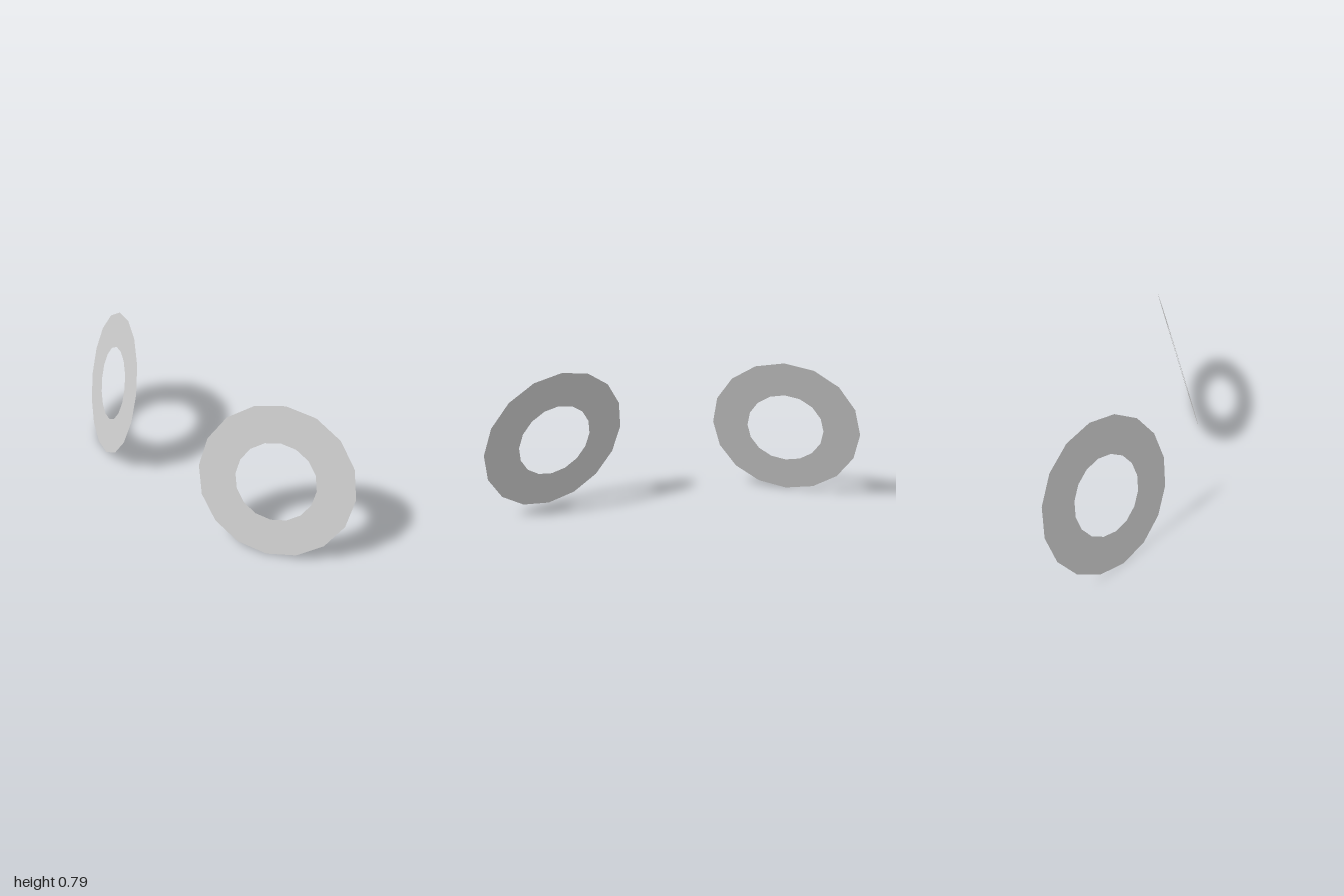
import * as THREE from 'three';

const OUTER = 0.41, INNER = 0.212, SIDES = 16;
const TILT = THREE.MathUtils.degToRad(15); // leaning back
const TURN = THREE.MathUtils.degToRad(26.1); // turned outwards

export function createModel() {
  const group = new THREE.Group();
  group.name = 'ringPair';
  const material = new THREE.MeshStandardMaterial({
    color: 0xcccccc, side: THREE.DoubleSide, flatShading: true,
  });

  // Two flat rings, mirrored across x = 0
  const geometry = new THREE.RingGeometry(INNER, OUTER, SIDES, 1);
  for (const side of [1, -1]) {
    const ring = new THREE.Mesh(geometry, material);
    ring.name = side > 0 ? 'leftRing' : 'rightRing';
    ring.rotation.set(-TILT, side * TURN, 0, 'YXZ');
    ring.position.set(side * (1 - OUTER * Math.cos(TURN)), OUTER * Math.cos(TILT), 0);
    group.add(ring);
  }
  return group;
}
